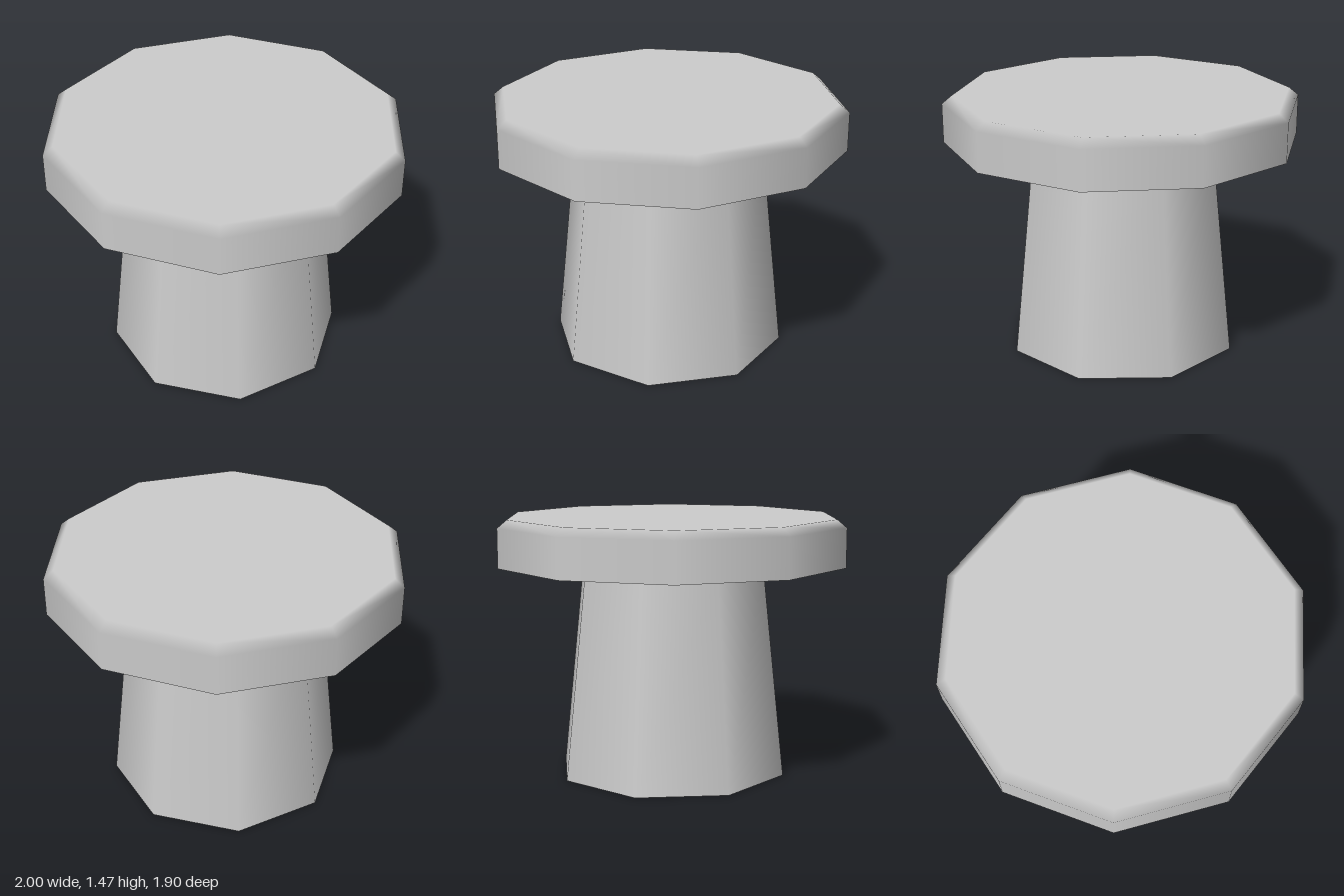
import * as THREE from 'three';

const SIDES = 10;
const BOTTOM = 1.2;
const SHOULDER = 1.42;
const TOP = 1.465;

// Ten-sided slab: upright rim, bevel and flat top, with the bevel shaded as a soft rounding
function makeTop() {
  const profile = [[1, BOTTOM], [1, SHOULDER], [0.945, TOP], [0, TOP]].map(([r, y]) => new THREE.Vector2(r, y));
  const geometry = new THREE.LatheGeometry(profile, SIDES, Math.PI / 2);
  const { position, normal } = geometry.attributes;
  const n = new THREE.Vector3();
  for (let i = 0; i < position.count; i++) {
    if (position.getY(i) > SHOULDER + 0.01) n.set(0, 1, 0);
    else n.set(position.getX(i), 0, position.getZ(i)).normalize();
    normal.setXYZ(i, n.x, n.y, n.z);
  }
  return geometry;
}

export function createModel() {
  const group = new THREE.Group();
  const material = new THREE.MeshStandardMaterial({ color: 0xcccccc });
  const openMaterial = new THREE.MeshStandardMaterial({ color: 0xcccccc, side: THREE.DoubleSide });

  const add = (name, geometry, mat, y = 0) => {
    const mesh = new THREE.Mesh(geometry, mat);
    mesh.name = name;
    mesh.position.y = y;
    group.add(mesh);
  };

  // Slab with its flat underside
  add('top', makeTop(), material);
  add('underside', new THREE.CircleGeometry(1, SIDES).rotateX(Math.PI / 2), material, BOTTOM);

  // Hollow eight-sided tapered stem, open at the foot
  add('stem', new THREE.CylinderGeometry(0.535, 0.665, BOTTOM, 8, 1, true), openMaterial, BOTTOM / 2);

  return group;
}
